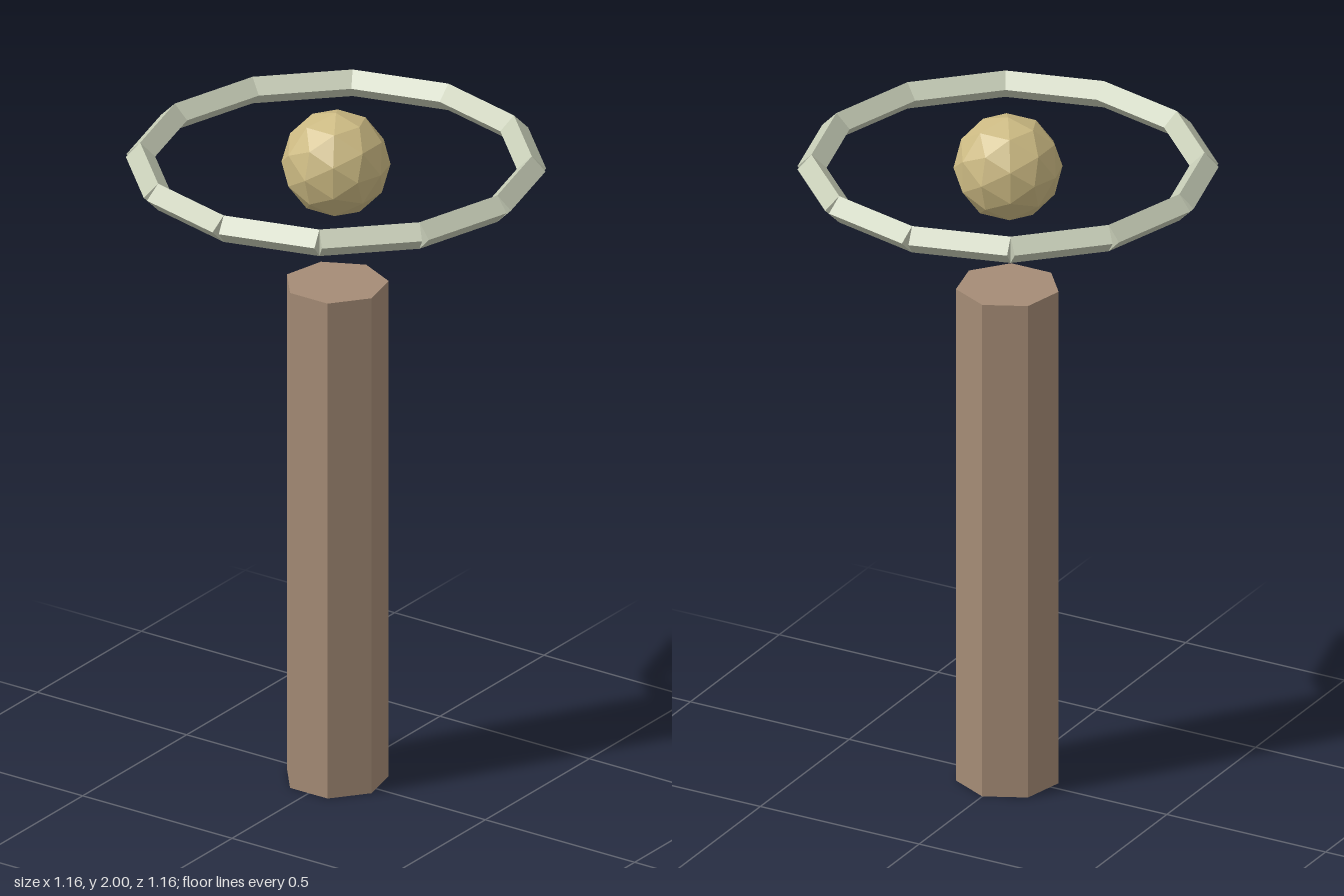
import * as THREE from 'three';

const makeMaterial = (name, color) => {
  const m = new THREE.MeshStandardMaterial({ color, flatShading: true });
  m.name = name;
  return m;
};

export function createModel() {
  const group = new THREE.Group();
  const wood = makeMaterial('brown wood', 0xa58c76);
  const sage = makeMaterial('pale sage', 0xc6ccb6);
  const gold = makeMaterial('dull gold', 0xcbb982);

  const add = (parent, name, geometry, material) => {
    const mesh = new THREE.Mesh(geometry, material);
    mesh.name = name;
    parent.add(mesh);
    return mesh;
  };

  // Seven-sided post, flat side to the front
  const post = add(group, 'post', new THREE.CylinderGeometry(0.145, 0.145, 1.49, 7), wood);
  post.position.y = 0.745;
  post.rotation.y = Math.PI;

  // Faceted ball floating above the post
  const ball = add(group, 'ball', new THREE.IcosahedronGeometry(0.15, 1), gold);
  ball.position.y = 1.85;

  // Halo of twelve straight bars with a diamond section
  const ring = new THREE.Group();
  ring.name = 'ring';
  ring.position.y = 1.85;
  group.add(ring);
  const count = 12, radius = 0.54;
  const apothem = radius * Math.cos(Math.PI / count);
  const length = 2 * radius * Math.sin(Math.PI / count);
  const bar = new THREE.CylinderGeometry(0.04, 0.04, length, 4).rotateZ(Math.PI / 2);
  for (let i = 0; i < count; i++) {
    const a = ((i + 0.5) / count) * Math.PI * 2;
    const segment = add(ring, 'ringSegment', bar, sage);
    segment.position.set(Math.sin(a) * apothem, 0, Math.cos(a) * apothem);
    segment.rotation.y = a;
  }
  return group;
}
